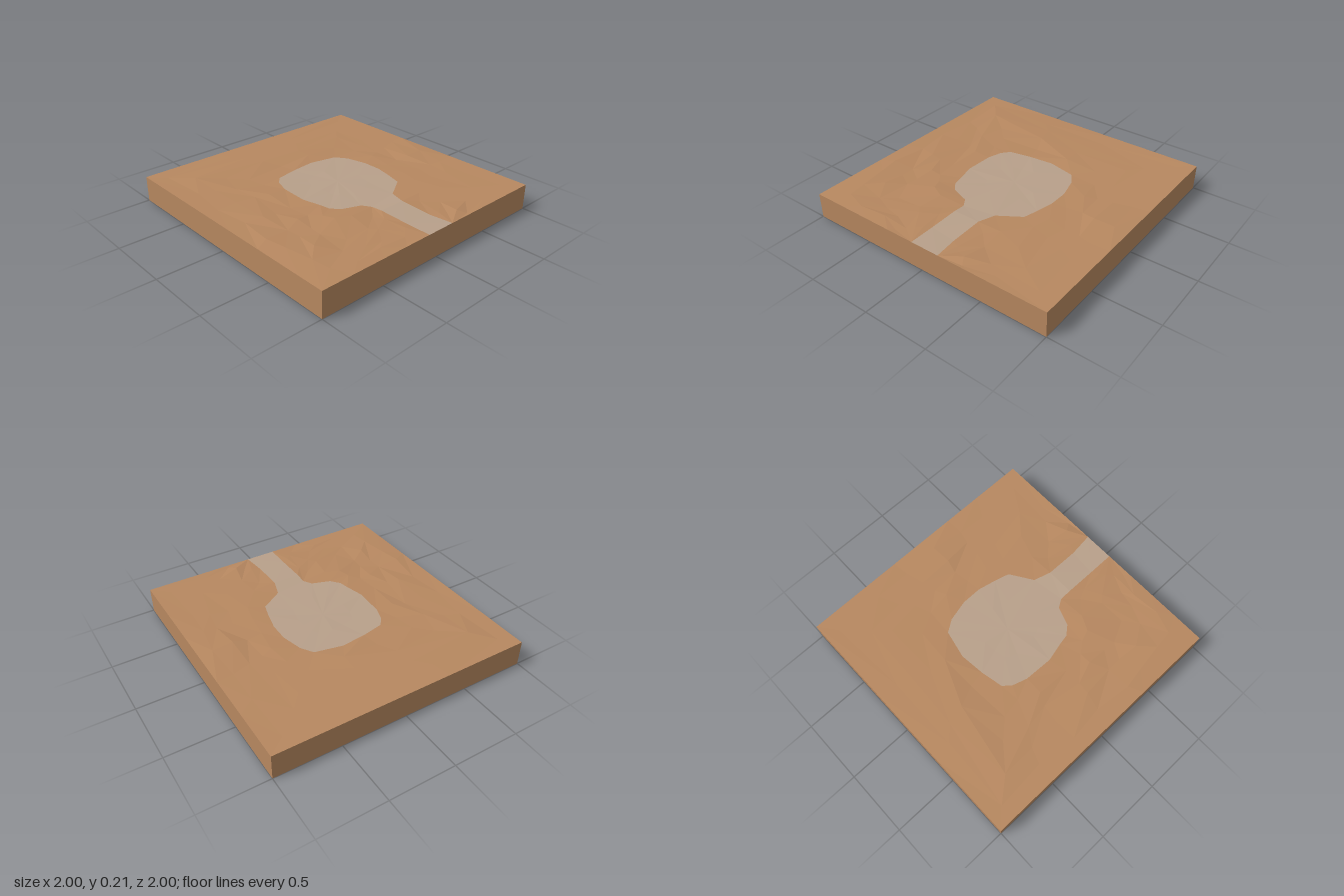
import * as THREE from 'three';

const LEVEL = 0.195;

// Small seeded generator, 0..1
function seeded(seed) {
  return () => {
    seed = (seed * 16807) % 2147483647;
    return seed / 2147483647;
  };
}

// Clearing and trail outline as [x, z], from the trail's right foot round to its left foot
const OUTLINE = [
  [0.15, 1], [0.13, 0.82], [0.13, 0.57], [0.17, 0.44], [0.34, 0.33], [0.37, 0.22],
  [0.4, 0.08], [0.4, -0.07], [0.36, -0.23], [0.3, -0.32], [0.09, -0.365], [-0.1, -0.345],
  [-0.27, -0.31], [-0.32, -0.25], [-0.355, -0.14], [-0.365, 0.08], [-0.33, 0.22], [-0.315, 0.3],
  [-0.26, 0.365], [-0.12, 0.415], [-0.08, 0.48], [-0.08, 0.57], [-0.08, 0.8], [-0.08, 1],
];
// Matching points on the tile's rim
const RIM = [
  [0.15, 1], [0.4, 1], [0.7, 1], [1, 1], [1, 0.6], [1, 0.3],
  [1, 0.05], [1, -0.25], [1, -0.6], [1, -1], [0.3, -1], [-0.35, -1],
  [-1, -1], [-1, -0.6], [-1, -0.25], [-1, 0.1], [-1, 0.4], [-1, 0.6],
  [-1, 0.8], [-1, 1], [-0.75, 1], [-0.5, 1], [-0.3, 1], [-0.08, 1],
];

// Collects triangles, always wound to face up
class Surface {
  constructor() { this.positions = []; }
  tri(a, b, c) {
    const up = (b.z - a.z) * (c.x - a.x) - (b.x - a.x) * (c.z - a.z);
    if (Math.abs(up) < 1e-7) return;
    for (const p of up > 0 ? [a, b, c] : [a, c, b]) this.positions.push(p.x, p.y, p.z);
  }
  quad(a, b, c, d, flip) {
    if (flip) { this.tri(a, b, c); this.tri(a, c, d); }
    else { this.tri(a, b, d); this.tri(b, c, d); }
  }
  mesh(name, material) {
    const geometry = new THREE.BufferGeometry();
    geometry.setAttribute('position', new THREE.Float32BufferAttribute(this.positions, 3));
    geometry.computeVertexNormals();
    const mesh = new THREE.Mesh(geometry, material);
    mesh.name = name;
    return mesh;
  }
}

export function createModel() {
  const random = seeded(4711);
  const group = new THREE.Group();
  group.name = 'groundTile';

  const soil = new THREE.MeshStandardMaterial({ color: 0xb78860, flatShading: true, side: THREE.DoubleSide });
  soil.name = 'soil';
  const dust = new THREE.MeshStandardMaterial({ color: 0xb8a08a, flatShading: true, side: THREE.DoubleSide });
  dust.name = 'pale dust';

  // Shared edge of the clearing, with a slight ridge where the trail enters
  const edge = OUTLINE.map(([x, z], i) => {
    const ridge = i === 2 || i === 21;
    const y = z === 1 ? LEVEL : ridge ? 0.201 : 0.193 + 0.003 * random();
    return new THREE.Vector3(x, y, z);
  });
  const rim = RIM.map(([x, z]) => new THREE.Vector3(x, LEVEL, z));

  // Rough soil: uneven loops between the clearing and the rim
  const rings = 5;
  const last = edge.length - 1;
  const loops = [edge];
  for (let r = 1; r < rings; r++) {
    loops.push(edge.map((p, i) => {
      const q = p.clone().lerp(rim[i], r / rings);
      if (i === 0 || i === last) return q;
      const spread = Math.min(0.08, p.distanceTo(rim[i]) / rings * 0.45);
      q.x += (random() - 0.5) * spread;
      q.z += (random() - 0.5) * spread;
      q.y = 0.192 + 0.015 * random() ** 3;
      return q;
    }));
  }
  loops.push(rim);
  const ground = new Surface();
  for (let r = 0; r < rings; r++) {
    for (let i = 0; i < last; i++) {
      ground.quad(loops[r][i], loops[r][i + 1], loops[r + 1][i + 1], loops[r + 1][i], random() > 0.5);
    }
  }
  group.add(ground.mesh('roughSoil', soil));

  // Clearing: outer band and inner fan
  const centre = new THREE.Vector3(0.02, 0.194, 0.02);
  const outer = edge.slice(3, 21);
  const inner = outer.map((p) => {
    const q = p.clone().lerp(centre, 0.5);
    q.y = 0.192 + 0.004 * random();
    return q;
  });
  const clearing = new Surface();
  outer.forEach((p, i) => {
    const j = (i + 1) % outer.length;
    clearing.quad(p, outer[j], inner[j], inner[i], i % 2 === 0);
    clearing.tri(inner[i], inner[j], centre);
  });
  group.add(clearing.mesh('clearing', dust));

  // Trail: strips from the front rim to the clearing
  const trail = new Surface();
  for (let i = 0; i < 3; i++) {
    trail.quad(edge[i], edge[i + 1], edge[last - i - 1], edge[last - i], i % 2 === 0);
  }
  group.add(trail.mesh('trail', dust));

  // Four side walls, open underneath
  for (let i = 0; i < 4; i++) {
    const wall = new THREE.Mesh(new THREE.PlaneGeometry(2, LEVEL).translate(0, LEVEL / 2, 1), soil);
    wall.rotation.y = i * Math.PI / 2;
    wall.name = ['frontWall', 'leftWall', 'backWall', 'rightWall'][i];
    group.add(wall);
  }
  return group;
}
